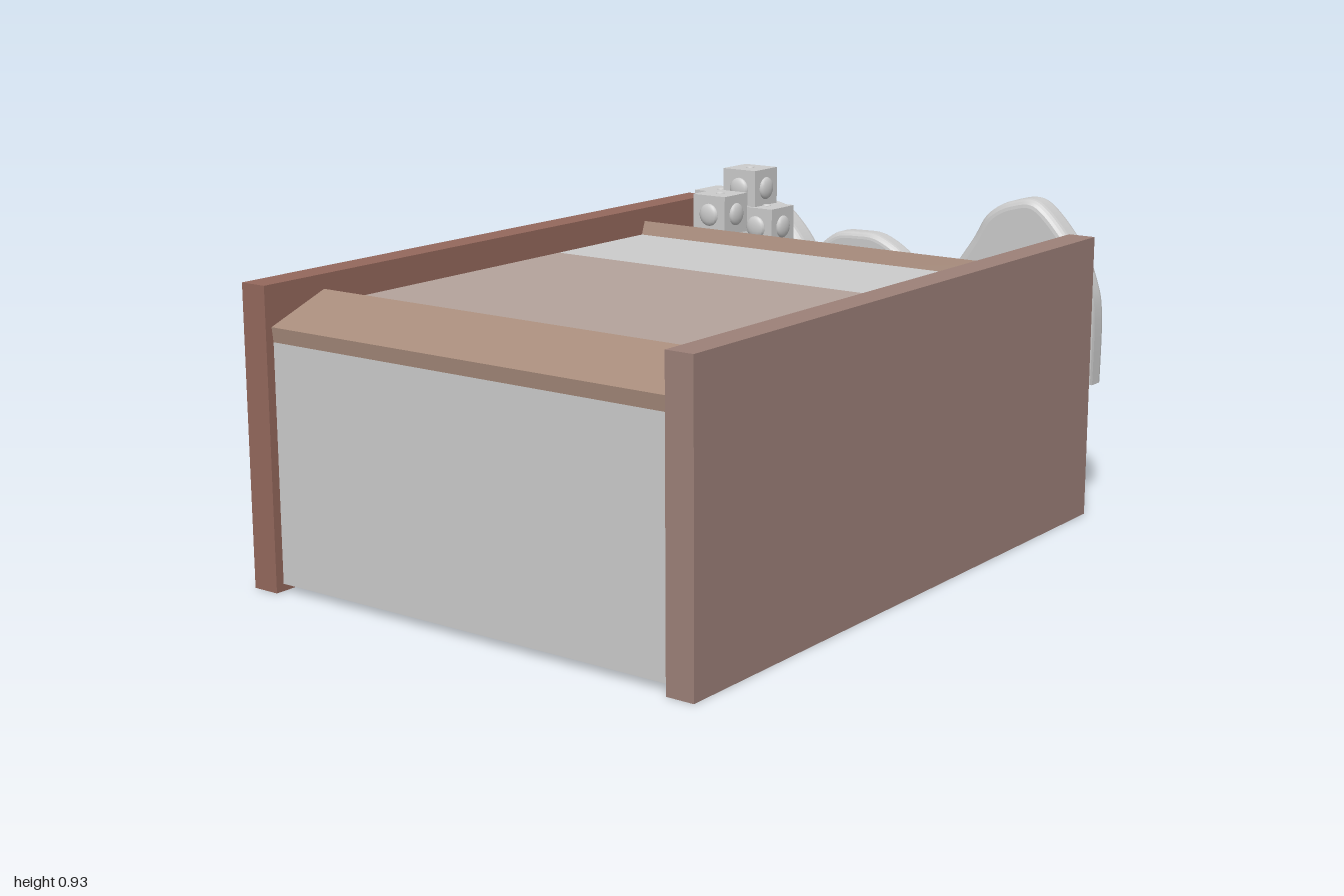
import * as THREE from 'three';

const mat = (color) => new THREE.MeshStandardMaterial({ color, roughness: 0.8, side: THREE.DoubleSide });

export function createModel() {
  const model = new THREE.Group();
  const grey = mat(0xcccccc), wood = mat(0x9c8078), darkWood = mat(0x94685c),
    tan = mat(0xb4a39b), slopeWood = mat(0xa88c7c), teal = mat(0xb0c0c0);

  const add = (name, geometry, material, parent = model) => {
    const mesh = new THREE.Mesh(geometry, material);
    mesh.name = name;
    parent.add(mesh);
    return mesh;
  };

  // Box given by its two extreme corners
  const box = (name, [x0, y0, z0], [x1, y1, z1], material) => {
    const mesh = add(name, new THREE.BoxGeometry(x1 - x0, y1 - y0, z1 - z0), material);
    mesh.position.set((x0 + x1) / 2, (y0 + y1) / 2, (z0 + z1) / 2);
  };

  // Long side panels
  box('frontPanel', [-1, 0, 0.64], [0.91, 0.815, 0.72], wood);
  box('backPanel', [-1, 0, -0.71], [0.91, 0.815, -0.63], darkWood);

  // Thin end panels and the deck; the underside stays open
  box('endPanelRight', [-0.975, 0.02, -0.63], [-0.96, 0.69, 0.64], grey);
  box('endPanelLeft', [0.885, 0.02, -0.63], [0.905, 0.645, 0.64], teal);
  box('deckWood', [-0.78, 0.72, -0.63], [0.165, 0.735, 0.64], tan);
  box('deckGrey', [0.165, 0.72, -0.63], [0.57, 0.735, 0.64], grey);

  // Prism running across the model from an x, y cross-section
  const crossBar = (name, points, material) => {
    const shape = new THREE.Shape(points.map(([x, y]) => new THREE.Vector2(x, y)));
    const geometry = new THREE.ExtrudeGeometry(shape, { depth: 1.27, bevelEnabled: false });
    geometry.translate(0, 0, -0.63);
    add(name, geometry, material);
  };

  // Tilted boards at both ends of the deck
  crossBar('slopedBoardRight', [[-0.98, 0.705], [-0.96, 0.545], [-0.735, 0.63], [-0.79, 0.775]], slopeWood);
  crossBar('slopedBoardLeft', [[0.575, 0.775], [0.525, 0.635], [0.71, 0.565], [0.76, 0.705]], slopeWood);
  crossBar('slopedEdge', [[0.76, 0.705], [0.755, 0.69], [0.89, 0.63], [0.9, 0.65]], grey);

  // Rounded cushions on the end, outlined in z, y
  const cushion = (name, outline, x0, x1, bevel) => {
    const [first, ...rest] = outline;
    const shape = new THREE.Shape();
    shape.moveTo(-first[0], first[1]);
    // straight sides and base, smooth crown
    shape.splineThru(rest.map(([z, y]) => new THREE.Vector2(-z, y)));
    shape.closePath();
    const geometry = new THREE.ExtrudeGeometry(shape, {
      depth: x1 - x0 - 2 * bevel, curveSegments: 26,
      bevelThickness: bevel, bevelSize: bevel, bevelOffset: -bevel, bevelSegments: 4,
    });
    geometry.rotateY(Math.PI / 2);
    geometry.translate(x0 + bevel, 0, 0);
    add(name, geometry, grey);
  };
  cushion('frontCushion', [[0.72, 0.38], [0.72, 0.58], [0.7, 0.68], [0.65, 0.78], [0.54, 0.893],
    [0.45, 0.893], [0.37, 0.85], [0.32, 0.77], [0.25, 0.67], [0.16, 0.55], [0.14, 0.38]], 0.905, 0.995, 0.025);
  cushion('middleCushion', [[0.18, 0.43], [0.17, 0.53], [0.13, 0.64], [0.07, 0.7], [-0.01, 0.742],
    [-0.08, 0.748], [-0.17, 0.735], [-0.25, 0.66], [-0.28, 0.55], [-0.28, 0.43]], 0.92, 0.99, 0.02);
  cushion('backCushion', [[-0.135, 0.225], [-0.135, 0.45], [-0.17, 0.53], [-0.24, 0.57], [-0.26, 0.67],
    [-0.33, 0.76], [-0.4, 0.803], [-0.55, 0.815], [-0.68, 0.8], [-0.71, 0.74], [-0.725, 0.6], [-0.725, 0.225]],
  0.905, 1, 0.025);

  // Cluster of small blocks with a round bump on every face
  const cluster = new THREE.Group();
  cluster.name = 'blockCluster';
  model.add(cluster);
  const size = 0.118;
  for (const [x, y, z] of [[0.85, 0.866, -0.43], [0.72, 0.8, -0.45], [0.84, 0.755, -0.36], [0.845, 0.79, -0.535]]) {
    const block = new THREE.Group();
    block.name = 'block';
    block.position.set(x, y, z);
    cluster.add(block);
    add('blockBody', new THREE.BoxGeometry(size, size, size), grey, block);
    for (const axis of ['x', 'y', 'z']) {
      for (const side of [-1, 1]) {
        const bump = add('blockBump', new THREE.SphereGeometry(0.034, 14, 10), grey, block);
        bump.position[axis] = side * size / 2;
        bump.scale[axis] = 0.4;
        if (axis === 'y') bump.scale.set(0.4, 0.15, 0.4);
      }
    }
  }
  return model;
}
